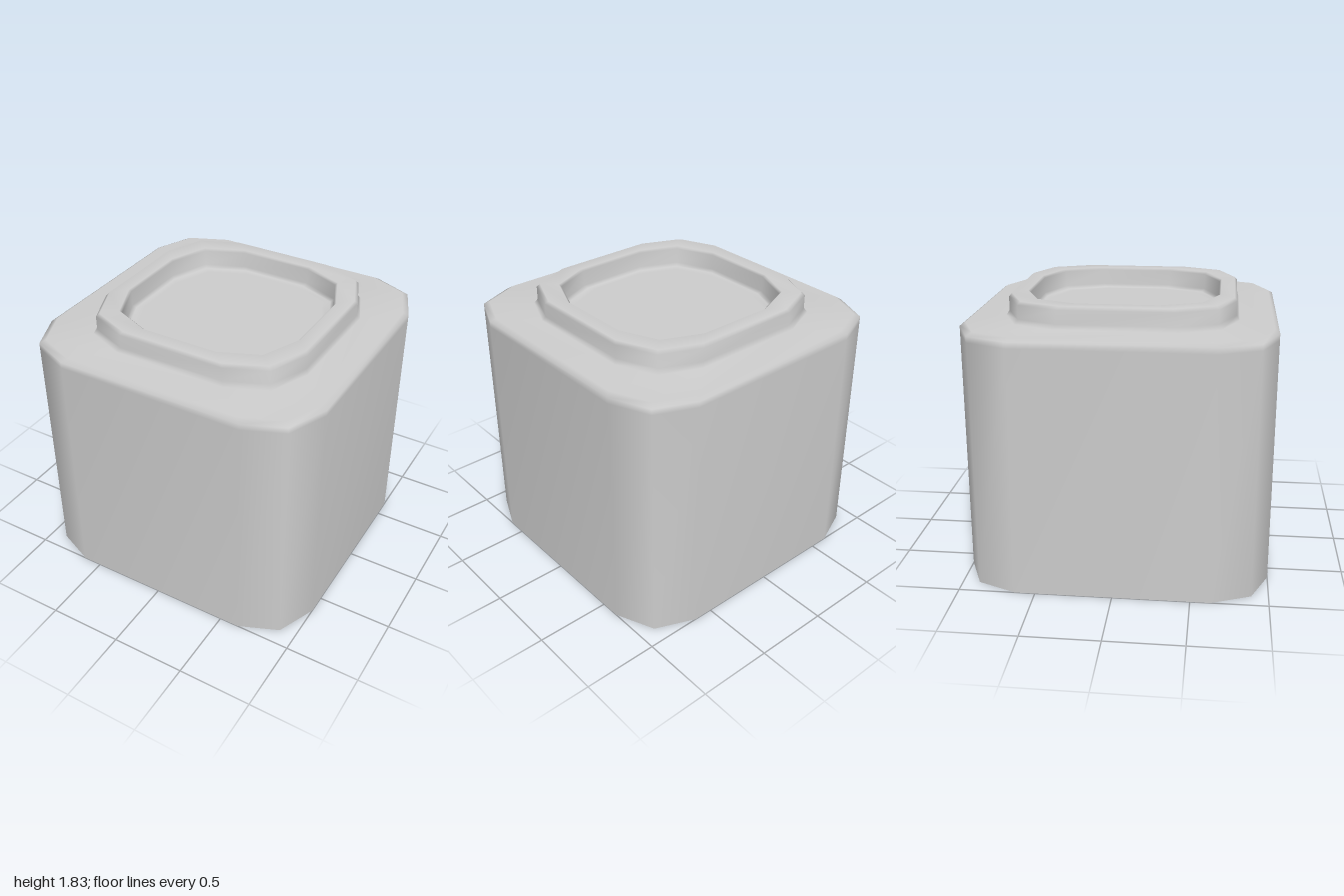
import * as THREE from 'three';

// Square ring with two-step chamfered corners: half-size s at height y
function ring(s, y) {
  const c = s - 0.11, f = s - 0.37;
  const corner = [[s, f], [c, c], [f, s]];
  const points = [];
  for (let q = 0; q < 4; q++) {
    for (const [x, z] of corner) {
      const [px, pz] = [[x, z], [-z, x], [-x, -z], [z, -x]][q];
      points.push([px, y, pz]);
    }
  }
  return points;
}

// Smooth skin through a list of [half-size, height] rings, optionally capped at the end
function loft(profile, capped) {
  const n = 12;
  const positions = profile.flatMap(([s, y]) => ring(s, y).flat());
  const index = [];
  for (let r = 0; r < profile.length - 1; r++) {
    for (let i = 0; i < n; i++) {
      const a = r * n + i, b = r * n + (i + 1) % n;
      index.push(a, a + n, b, b, a + n, b + n);
    }
  }
  if (capped) {
    const last = (profile.length - 1) * n, centre = profile.length * n;
    positions.push(0, profile[profile.length - 1][1], 0);
    for (let i = 0; i < n; i++) index.push(last + i, centre, last + (i + 1) % n);
  }
  const geometry = new THREE.BufferGeometry();
  geometry.setAttribute('position', new THREE.Float32BufferAttribute(positions, 3));
  geometry.setIndex(index);
  geometry.computeVertexNormals();
  return geometry;
}

export function createModel() {
  const group = new THREE.Group();
  group.name = 'container';
  const material = new THREE.MeshStandardMaterial({ color: 0xcccccc, side: THREE.DoubleSide });

  const shell = new THREE.Mesh(loft([
    // walls, open at the bottom
    [1, 0], [1, 1.63], [1, 1.67],
    // bevel and shoulder
    [0.97, 1.69], [0.755, 1.69],
    // raised collar
    [0.737, 1.72], [0.737, 1.81], [0.72, 1.83],
    // rim and recessed floor
    [0.63, 1.83], [0.618, 1.815], [0.618, 1.71], [0.6, 1.69], [0.56, 1.69],
  ], true), material);
  shell.name = 'shell';
  group.add(shell);
  return group;
}
